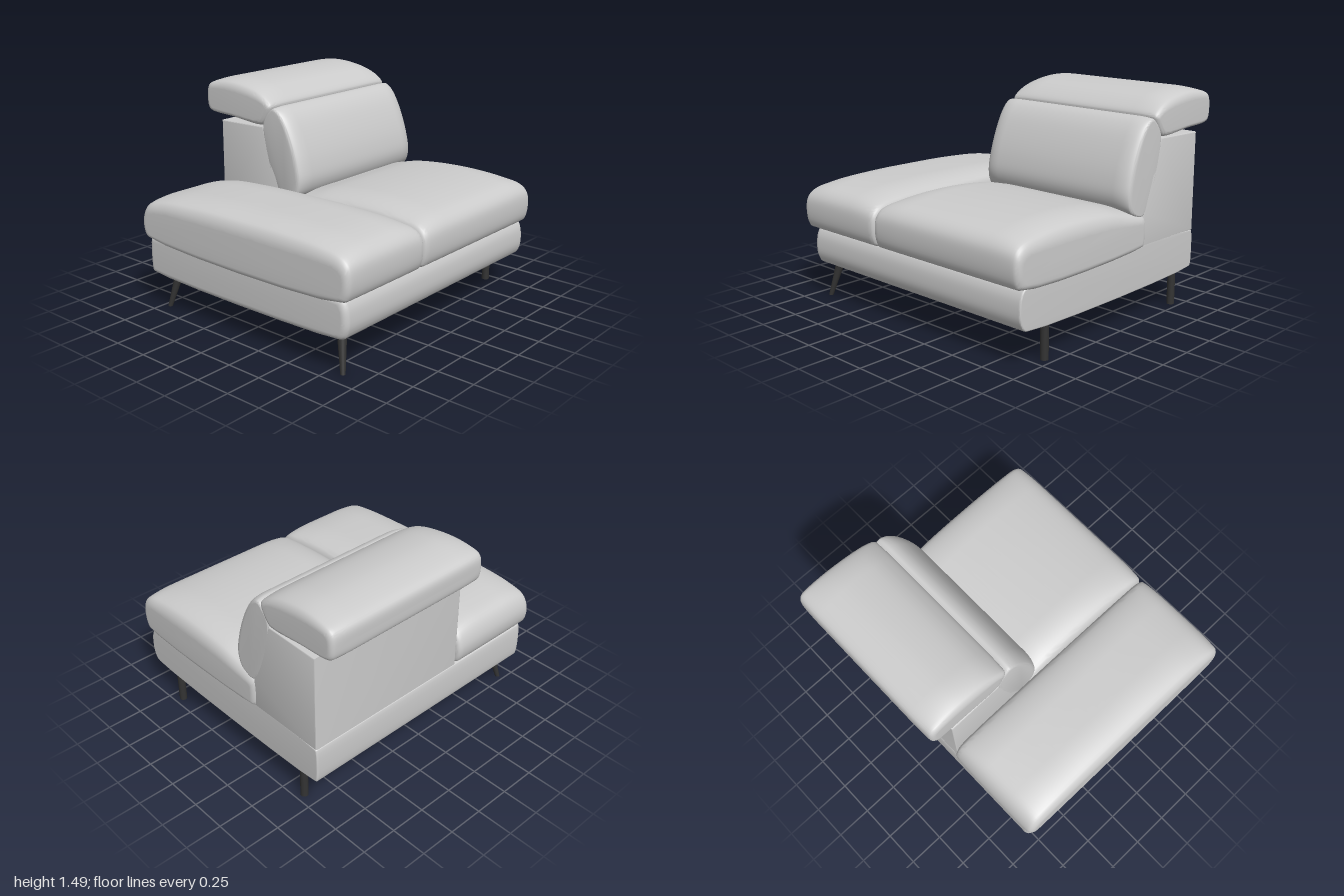
import * as THREE from 'three';
import { toCreasedNormals } from 'three/addons/utils/BufferGeometryUtils.js';

const fabric = new THREE.MeshStandardMaterial({ color: 0xcccccc });
const darkLeg = new THREE.MeshStandardMaterial({ color: 0x333333 });

// Smooth closed outline through [z, y] points
function outline(points) {
  const curve = new THREE.CatmullRomCurve3(points.map(([z, y]) => new THREE.Vector3(z, y, 0)), true, 'centripetal');
  const n = points.length * 6;
  return Array.from({ length: n }, (_, i) => curve.getPoint(i / n));
}

// Puffed cushion lofted along x: the end outline swells to the middle outline
// over the distance `dome`; e0 and e1 are the edge radii of the two ends.
function cushion(name, x0, x1, mid, end, dome, e0, e1) {
  const A = outline(end), B = outline(mid), n = A.length;
  const box = new THREE.Box3().setFromPoints(A);
  const c = box.getCenter(new THREE.Vector3());
  const half = box.getSize(new THREE.Vector3()).multiplyScalar(0.5);

  const half0 = (e) => {
    const list = [];
    for (let k = 0; k <= 6; k++) {
      const a = (k / 6) * Math.PI / 2;
      list.push({ s: e * (1 - Math.cos(a)), inset: e * (1 - Math.sin(a)) });
    }
    for (let k = 1; k <= 10; k++) list.push({ s: e + (dome - e) * (k / 10), inset: 0 });
    return list;
  };
  const sections = [
    ...half0(e0).map((q) => ({ ...q, x: x0 + q.s })),
    ...half0(e1).map((q) => ({ ...q, x: x1 - q.s })).reverse(),
  ];

  const pos = [], index = [];
  for (const { x, s, inset } of sections) {
    const u = Math.min(s / dome, 1);
    const t = Math.sqrt(1 - (1 - u) ** 2);
    for (let i = 0; i < n; i++) {
      const p = A[i].clone().lerp(B[i], t);
      pos.push(x, c.y + (p.y - c.y) * (1 - inset / half.y), c.x + (p.x - c.x) * (1 - inset / half.x));
    }
  }
  const last = (sections.length - 1) * n;
  for (let k = 0; k < last; k += n) {
    for (let i = 0; i < n; i++) {
      const j = (i + 1) % n;
      index.push(k + i, k + n + i, k + n + j, k + i, k + n + j, k + j);
    }
  }
  // flat end panels
  for (const [a, b, d] of THREE.ShapeUtils.triangulateShape(A.map((p) => new THREE.Vector2(p.x, p.y)), [])) {
    index.push(a, b, d, last + a, last + d, last + b);
  }
  const geo = new THREE.BufferGeometry();
  geo.setAttribute('position', new THREE.Float32BufferAttribute(pos, 3));
  geo.setIndex(index);
  const mesh = new THREE.Mesh(toCreasedNormals(geo, 0.7), fabric);
  mesh.name = name;
  return mesh;
}

// Tapered round leg between two points
function leg(name, top, bottom, rTop, rBottom) {
  const a = new THREE.Vector3(...top), b = new THREE.Vector3(...bottom);
  const geo = new THREE.CylinderGeometry(rTop, rBottom, 1, 24);
  // shear instead of rotate so both ends stay level
  const p = geo.attributes.position;
  for (let i = 0; i < p.count; i++) {
    const m = b.clone().lerp(a, p.getY(i) + 0.5);
    p.setXYZ(i, p.getX(i) + m.x, m.y, p.getZ(i) + m.z);
  }
  geo.computeVertexNormals();
  const mesh = new THREE.Mesh(geo, darkLeg);
  mesh.name = name;
  return mesh;
}

export function createModel() {
  const group = new THREE.Group();
  group.name = 'chaiseSofa';

  // Base with a bulging front and outer side
  const base = [[-0.81, 0.25], [-0.8, 0.24], [0.86, 0.24], [0.89, 0.255], [0.915, 0.31], [0.92, 0.38],
    [0.91, 0.45], [0.885, 0.495], [0.86, 0.5], [-0.8, 0.5], [-0.81, 0.49]];
  group.add(cushion('base', -0.96, 0.98, base, base, 0.1, 0.04, 0.008));

  // Long chaise cushion
  group.add(cushion('chaiseCushion', -1, -0.26,
    [[-0.79, 0.5], [0.92, 0.5], [0.955, 0.535], [0.97, 0.65], [0.955, 0.73], [0.9, 0.785], [0.75, 0.825],
      [0.45, 0.845], [0.1, 0.845], [-0.3, 0.835], [-0.65, 0.8], [-0.79, 0.75], [-0.84, 0.64], [-0.825, 0.53]],
    [[-0.79, 0.5], [0.92, 0.5], [0.945, 0.535], [0.96, 0.62], [0.945, 0.7], [0.9, 0.735], [0.75, 0.75],
      [0.45, 0.755], [0.1, 0.755], [-0.3, 0.75], [-0.65, 0.735], [-0.79, 0.7], [-0.83, 0.62], [-0.82, 0.53]],
    0.25, 0.04, 0.03));

  // Seat cushion, falling towards the back
  group.add(cushion('seatCushion', -0.26, 1,
    [[-0.25, 0.51], [-0.24, 0.5], [0.92, 0.5], [0.955, 0.535], [0.97, 0.65], [0.955, 0.73], [0.9, 0.785],
      [0.75, 0.825], [0.45, 0.845], [0.1, 0.82], [-0.05, 0.785], [-0.24, 0.73], [-0.25, 0.72]],
    [[-0.25, 0.51], [-0.24, 0.5], [0.92, 0.5], [0.945, 0.535], [0.96, 0.62], [0.945, 0.7], [0.9, 0.735],
      [0.75, 0.745], [0.45, 0.745], [0.1, 0.73], [-0.05, 0.71], [-0.24, 0.68], [-0.25, 0.67]],
    0.25, 0.03, 0.04));

  // Back support: side outline extruded across the seat width
  const b = 0.008;
  const side = new THREE.Shape([[-0.24, 0.5], [-0.24, 0.72], [-0.41, 1.19], [-0.81, 1.18], [-0.81, 0.5]]
    .map(([z, y]) => new THREE.Vector2(-z, y)));
  const supportGeo = new THREE.ExtrudeGeometry(side, {
    depth: 1.24 - 2 * b, bevelSize: b, bevelThickness: b, bevelOffset: -b, bevelSegments: 3 });
  supportGeo.rotateY(Math.PI / 2);
  const support = new THREE.Mesh(toCreasedNormals(supportGeo, 0.7), fabric);
  support.position.x = -0.26 + b;
  support.name = 'backSupport';
  group.add(support);

  // Leaning back cushion
  group.add(cushion('backCushion', -0.26, 0.98,
    [[-0.24, 0.71], [-0.13, 0.73], [-0.085, 0.77], [-0.06, 0.85], [-0.075, 0.97], [-0.13, 1.13],
      [-0.2, 1.26], [-0.26, 1.32], [-0.31, 1.335], [-0.35, 1.31], [-0.41, 1.2]],
    [[-0.24, 0.71], [-0.14, 0.73], [-0.11, 0.77], [-0.1, 0.85], [-0.125, 0.97], [-0.18, 1.13],
      [-0.24, 1.25], [-0.28, 1.3], [-0.315, 1.32], [-0.35, 1.3], [-0.41, 1.2]],
    0.12, 0.012, 0.012));

  // Headrest projecting backwards over the support
  group.add(cushion('headrest', -0.265, 0.99,
    [[-0.93, 1.23], [-0.7, 1.215], [-0.45, 1.195], [-0.41, 1.205], [-0.345, 1.31], [-0.34, 1.345],
      [-0.4, 1.405], [-0.5, 1.455], [-0.7, 1.485], [-0.85, 1.468], [-0.94, 1.435], [-0.965, 1.405],
      [-0.97, 1.33], [-0.96, 1.25]],
    [[-0.93, 1.235], [-0.7, 1.215], [-0.45, 1.197], [-0.41, 1.21], [-0.355, 1.3], [-0.35, 1.33],
      [-0.4, 1.365], [-0.5, 1.395], [-0.7, 1.425], [-0.85, 1.43], [-0.93, 1.42], [-0.95, 1.395],
      [-0.96, 1.33], [-0.95, 1.26]],
    0.2, 0.03, 0.03));

  // Splayed legs under the chaise, straight legs under the seat
  group.add(leg('chaiseFrontLeg', [-0.84, 0.25, 0.79], [-0.895, 0, 0.845], 0.032, 0.016));
  group.add(leg('chaiseBackLeg', [-0.84, 0.25, -0.65], [-0.895, 0, -0.703], 0.032, 0.016));
  group.add(leg('seatFrontLeg', [0.94, 0.25, 0.665], [0.94, 0, 0.665], 0.026, 0.026));
  group.add(leg('seatBackLeg', [0.94, 0.25, -0.645], [0.94, 0, -0.645], 0.026, 0.026));

  return group;
}
